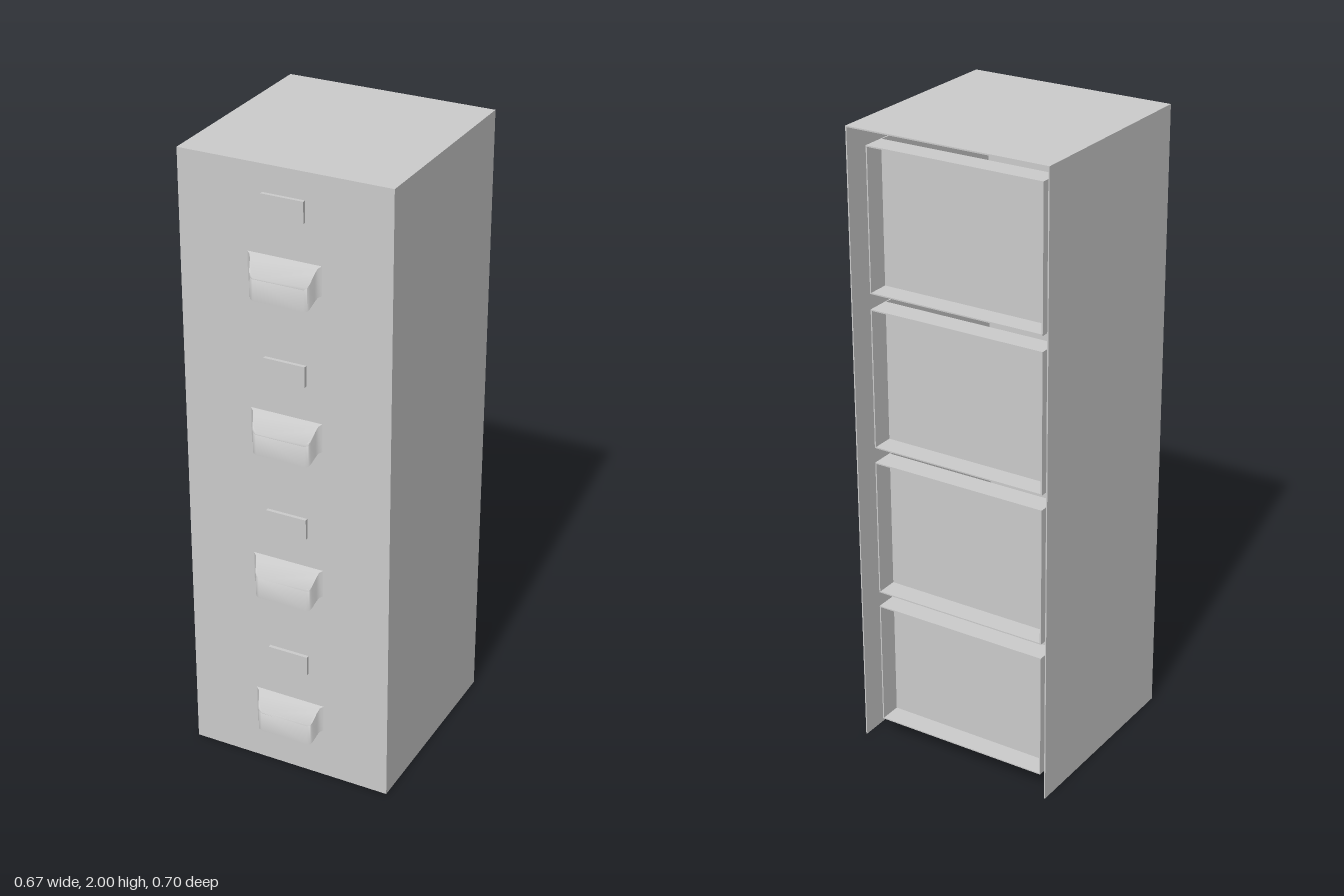
import * as THREE from 'three';
import { toCreasedNormals } from 'three/addons/utils/BufferGeometryUtils.js';

const HALF_W = 0.333, BACK = -0.352, FRONT = 0.312, HEIGHT = 2, WALL = 0.004;

// Heights of each drawer's floor, rim, label and handle, from the bottom drawer up
const DRAWERS = [
  { floor: 0.05, rim: 0.46, label: 0.365, handle: 0.258 },
  { floor: 0.508, rim: 0.953, label: 0.85, handle: 0.75 },
  { floor: 1.001, rim: 1.446, label: 1.352, handle: 1.242 },
  { floor: 1.494, rim: 1.94, label: 1.852, handle: 1.733 }
];
const material = new THREE.MeshStandardMaterial({ color: 0xcccccc, side: THREE.DoubleSide });

// Box given by its lower and upper corners
function block(name, [x0, y0, z0], [x1, y1, z1]) {
  const mesh = new THREE.Mesh(new THREE.BoxGeometry(x1 - x0, y1 - y0, z1 - z0), material);
  mesh.position.set((x0 + x1) / 2, (y0 + y1) / 2, (z0 + z1) / 2);
  mesh.name = name;
  return mesh;
}

// Thin outer case, open at the back and underneath
function cabinetCase() {
  const g = new THREE.Group();
  g.name = 'cabinetCase';
  g.add(
    block('frontPanel', [-HALF_W, 0, FRONT - WALL], [HALF_W, HEIGHT, FRONT]),
    block('topPanel', [-HALF_W, HEIGHT - WALL, BACK], [HALF_W, HEIGHT, FRONT - WALL]),
    block('leftPanel', [HALF_W - WALL, 0, BACK], [HALF_W, HEIGHT - WALL, FRONT - WALL]),
    block('rightPanel', [-HALF_W, 0, BACK], [WALL - HALF_W, HEIGHT - WALL, FRONT - WALL])
  );
  return g;
}

// Open-topped drawer whose rear panel is recessed behind a flanged rim
function drawerBody(y0, y1) {
  const g = new THREE.Group();
  g.name = 'drawerBody';
  const w = 0.292, z0 = -0.315, z1 = FRONT - WALL, rear = -0.246, t = WALL;
  g.add(
    block('drawerFloor', [-w, y0, z0], [w, y0 + t, z1]),
    block('rearFlange', [t - w, y1 - t, z0], [w - t, y1, rear]),
    block('drawerLeftSide', [w - t, y0 + t, z0], [w, y1, z1]),
    block('drawerRightSide', [-w, y0 + t, z0], [t - w, y1, z1]),
    block('drawerRearPanel', [t - w, y0 + t, rear], [w - t, y1, rear + t])
  );
  return g;
}

// Plan outline of the handle: x across, y outward from the front panel
const half = [[0.116, 0], [0.106, 0.005], [0.101, 0.014], [0.095, 0.03], [0.09, 0.037], [0.08, 0.04]];
const outline = [...half, ...half.map(([x, y]) => [-x, y]).reverse()];
const inner = outline.map(([x, y]) => [x * 0.96, y * 0.92]).reverse();

// Extrude a plan downward, then slope its top and bottom toward the front
function slopedExtrude(name, points, depth) {
  const shape = new THREE.Shape(points.map(([x, y]) => new THREE.Vector2(x, y)));
  const geo = new THREE.ExtrudeGeometry(shape, { depth, bevelEnabled: false });
  geo.rotateX(Math.PI / 2);
  const p = geo.attributes.position;
  for (let i = 0; i < p.count; i++) {
    const t = -p.getY(i) / 0.09;
    p.setY(i, p.getY(i) - p.getZ(i) * (1.5 - 0.5 * t));
  }
  const mesh = new THREE.Mesh(toCreasedNormals(geo, 0.7), material);
  mesh.name = name;
  return mesh;
}

// Hooded pull, open underneath for the fingers
function pullHandle(y) {
  const g = new THREE.Group();
  g.name = 'pullHandle';
  g.add(slopedExtrude('handleHood', outline, 0.004));
  g.add(slopedExtrude('handleWall', [...outline, ...inner], 0.09));
  g.position.set(0, y, FRONT);
  return g;
}

export function createModel() {
  const model = new THREE.Group();
  model.name = 'filingCabinet';
  model.add(cabinetCase());
  DRAWERS.forEach(({ floor, rim, label, handle }, i) => {
    const drawer = new THREE.Group();
    drawer.name = 'drawer' + (i + 1);
    drawer.add(
      drawerBody(floor, rim),
      pullHandle(handle),
      block('labelPlate', [-0.066, label, FRONT], [0.066, label + 0.065, FRONT + 0.011])
    );
    model.add(drawer);
  });
  return model;
}
